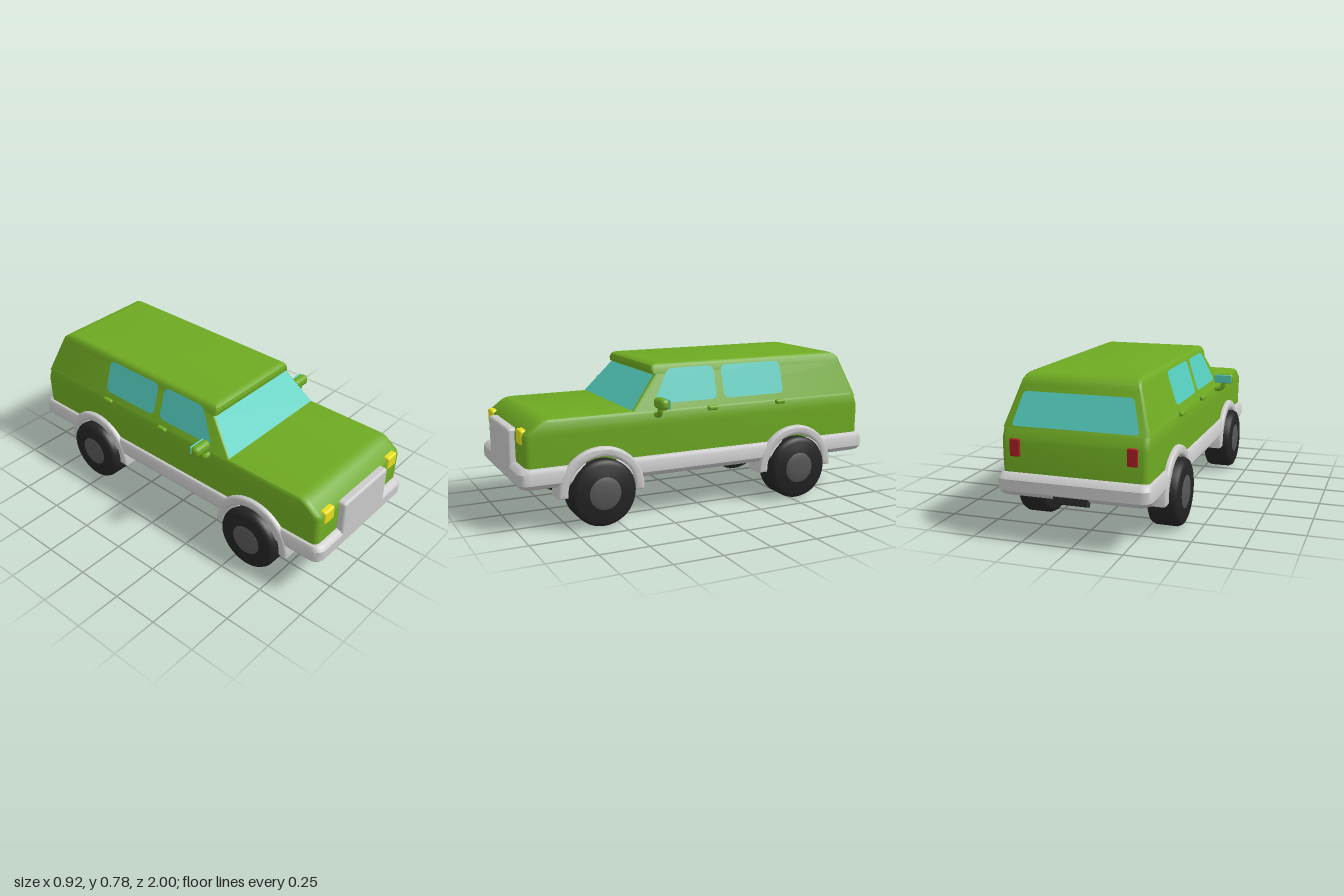
import * as THREE from 'three';
import { toCreasedNormals } from 'three/addons/utils/BufferGeometryUtils.js';
import { RoundedBoxGeometry } from 'three/addons/geometries/RoundedBoxGeometry.js';

const mat = (name, color, side = THREE.FrontSide) => {
  const m = new THREE.MeshStandardMaterial({ color, side });
  m.name = name;
  return m;
};

// Stack of rounded rectangles; each ring is [y, frontZ, backZ, halfWidth, cornerRadius]
function loft(rings) {
  const steps = 5, n = 4 * (steps + 1), pos = [], idx = [];
  for (const [y, zf, zb, w, r] of rings) {
    for (let q = 0; q < 4; q++) {
      const cx = q === 0 || q === 3 ? w - r : r - w;
      const cz = q < 2 ? zf - r : zb + r;
      for (let s = 0; s <= steps; s++) {
        const a = (q + s / steps) * Math.PI / 2;
        pos.push(cx + r * Math.cos(a), y, cz + r * Math.sin(a));
      }
    }
  }
  for (let k = 0; k < rings.length - 1; k++) {
    for (let i = 0; i < n; i++) {
      const a = k * n + i, b = k * n + (i + 1) % n;
      idx.push(a, a + n, b, b, a + n, b + n);
    }
  }
  const last = (rings.length - 1) * n;
  for (let i = 1; i < n - 1; i++) {
    idx.push(0, i, i + 1);
    idx.push(last, last + i + 1, last + i);
  }
  const g = new THREE.BufferGeometry();
  g.setAttribute('position', new THREE.Float32BufferAttribute(pos, 3));
  g.setIndex(idx);
  return toCreasedNormals(g, 0.6);
}

// Polygon with rounded corners
function roundedPolygon(points, r) {
  const p = points.map(([x, y]) => new THREE.Vector2(x, y));
  const s = new THREE.Shape();
  p.forEach((c, i) => {
    const prev = p[(i + p.length - 1) % p.length], next = p[(i + 1) % p.length];
    const a = c.clone().add(prev.clone().sub(c).setLength(r));
    const b = c.clone().add(next.clone().sub(c).setLength(r));
    if (i === 0) s.moveTo(a.x, a.y); else s.lineTo(a.x, a.y);
    s.quadraticCurveTo(c.x, c.y, b.x, b.y);
  });
  s.closePath();
  return s;
}

// Flat pane laid onto a sloping wall by a mapping rule
function pane(points, r, place) {
  const g = new THREE.ShapeGeometry(roundedPolygon(points, r), 6);
  const p = g.attributes.position;
  for (let i = 0; i < p.count; i++) p.setXYZ(i, ...place(p.getX(i), p.getY(i)));
  g.computeVertexNormals();
  return g;
}

export function createModel() {
  const car = new THREE.Group();
  car.name = 'car';
  const green = mat('green paint', 0x6eaa22);
  const white = mat('pale grey trim', 0xcacaca);
  const glass = mat('window glass', 0x55cdbe, THREE.DoubleSide);
  const rubber = mat('black rubber', 0x242424);
  const hubGrey = mat('hub grey', 0x565656);
  const yellow = mat('headlight yellow', 0xe6e020);
  const red = mat('tail light red', 0xa81f22);

  const add = (name, geo, material, x = 0, y = 0, z = 0) => {
    const m = new THREE.Mesh(geo, material);
    m.name = name;
    m.position.set(x, y, z);
    car.add(m);
    return m;
  };

  // Chassis with wrap-round bumper
  add('chassis', loft([
    [0.215, 0.965, -0.965, 0.345, 0.03],
    [0.223, 0.985, -0.985, 0.363, 0.045],
    [0.243, 0.999, -0.999, 0.377, 0.05],
    [0.297, 0.999, -0.999, 0.377, 0.05],
    [0.317, 0.985, -0.985, 0.367, 0.045],
    [0.325, 0.965, -0.965, 0.35, 0.03],
  ]), white);

  // Lower body and bonnet
  add('lowerBody', loft([
    [0.28, 0.962, -0.962, 0.355, 0.03],
    [0.47, 0.965, -0.962, 0.359, 0.03],
    [0.49, 0.957, -0.957, 0.359, 0.03],
    [0.538, 0.895, -0.94, 0.356, 0.03],
    [0.55, 0.875, -0.932, 0.349, 0.03],
    [0.555, 0.85, -0.925, 0.335, 0.03],
  ]), green);

  // Cabin with roof lip over the windscreen
  add('cabin', loft([
    [0.53, 0.43, -0.943, 0.356, 0.015],
    [0.72, 0.265, -0.872, 0.297, 0.015],
    [0.723, 0.278, -0.871, 0.296, 0.015],
    [0.745, 0.284, -0.862, 0.289, 0.015],
    [0.764, 0.278, -0.838, 0.281, 0.015],
    [0.773, 0.265, -0.815, 0.271, 0.015],
    [0.776, 0.25, -0.795, 0.258, 0.015],
  ]), green);

  // Windscreen and rear window
  add('windscreen', pane(
    [[-0.342, 0.556], [0.342, 0.556], [0.286, 0.719], [-0.286, 0.719]], 0.006,
    (x, y) => [x, y, 0.434 - (y - 0.53) * 0.868]), glass);
  add('rearWindow', pane(
    [[0.31, 0.54], [-0.31, 0.54], [-0.268, 0.695], [0.268, 0.695]], 0.02,
    (x, y) => [x, y, -0.948 + (y - 0.53) * 0.374]), glass);

  // Grille and rear plate
  add('grille', new RoundedBoxGeometry(0.375, 0.21, 0.08, 3, 0.015), white, 0, 0.385, 0.959);
  add('rearPlate', new RoundedBoxGeometry(0.175, 0.06, 0.03, 2, 0.005), rubber, 0, 0.23, -0.982)
    .rotation.x = 0.35;

  // Shared geometries for wheels and arches
  const tyre = new THREE.LatheGeometry([
    [0, -0.0775], [0.145, -0.0775], [0.161, -0.07], [0.17, -0.052],
    [0.17, 0.052], [0.161, 0.07], [0.145, 0.0775], [0, 0.0775],
  ].map(([r, h]) => new THREE.Vector2(r, h)), 40).rotateZ(Math.PI / 2);
  const tyreGeo = toCreasedNormals(tyre, 0.8);
  const hubGeo = new THREE.SphereGeometry(1, 32, 20).scale(0.022, 0.095, 0.095);
  const archShape = new THREE.Shape();
  archShape.absarc(0, 0, 0.211, 0, Math.PI, false);
  archShape.absarc(0, 0, 0.19, Math.PI, 0, true);
  const archGeo = toCreasedNormals(new THREE.ExtrudeGeometry(archShape, {
    depth: 0.095, bevelSize: 0.015, bevelThickness: 0.015, bevelSegments: 3, curveSegments: 28,
  }).translate(0, 0, -0.0475).rotateY(-Math.PI / 2), 0.7);

  for (const side of [1, -1]) {
    const label = side > 0 ? 'left' : 'right';

    for (const [end, z] of [['Front', 0.585], ['Rear', -0.538]]) {
      add(label + end + 'Tyre', tyreGeo, rubber, side * 0.3375, 0.17, z);
      add(label + end + 'Hub', hubGeo, hubGrey, side * 0.404, 0.172, z);
      add(label + end + 'WheelArch', archGeo, white, side * 0.32, 0.173, z);
    }

    // Side windows on the sloping cabin wall
    const wall = (z, y) => [side * (0.36 - (y - 0.53) * 0.3105), y, z];
    add(label + 'FrontWindow', pane(
      [[0.295, 0.58], [0.195, 0.748], [-0.068, 0.748], [-0.068, 0.58]], 0.035, wall), glass);
    add(label + 'RearWindow', pane(
      [[-0.11, 0.58], [-0.11, 0.748], [-0.47, 0.748], [-0.47, 0.58]], 0.035, wall), glass);

    // Door handles
    for (const z of [-0.032, -0.44]) {
      add(label + 'DoorHandle', new RoundedBoxGeometry(0.025, 0.024, 0.058, 3, 0.01),
        green, side * 0.362, 0.538, z);
    }

    // Lights
    add(label + 'Headlight', new RoundedBoxGeometry(0.08, 0.075, 0.04, 3, 0.012),
      yellow, side * 0.275, 0.466, 0.953);
    add(label + 'TailLight', new RoundedBoxGeometry(0.05, 0.083, 0.03, 2, 0.005),
      red, side * 0.285, 0.443, -0.957);

    // Door mirror on a bent stalk
    const bend = new THREE.CatmullRomCurve3([[0.345, 0.53], [0.385, 0.532], [0.403, 0.55], [0.407, 0.59]]
      .map(([x, y]) => new THREE.Vector3(side * x, y, 0.285)));
    add(label + 'MirrorStalk', new THREE.TubeGeometry(bend, 16, 0.014, 12), green);
    add(label + 'MirrorHousing', new RoundedBoxGeometry(0.108, 0.056, 0.05, 4, 0.022),
      green, side * 0.408, 0.592, 0.28);
    add(label + 'MirrorGlass', new RoundedBoxGeometry(0.096, 0.046, 0.008, 2, 0.004),
      glass, side * 0.408, 0.592, 0.254);
  }
  return car;
}
